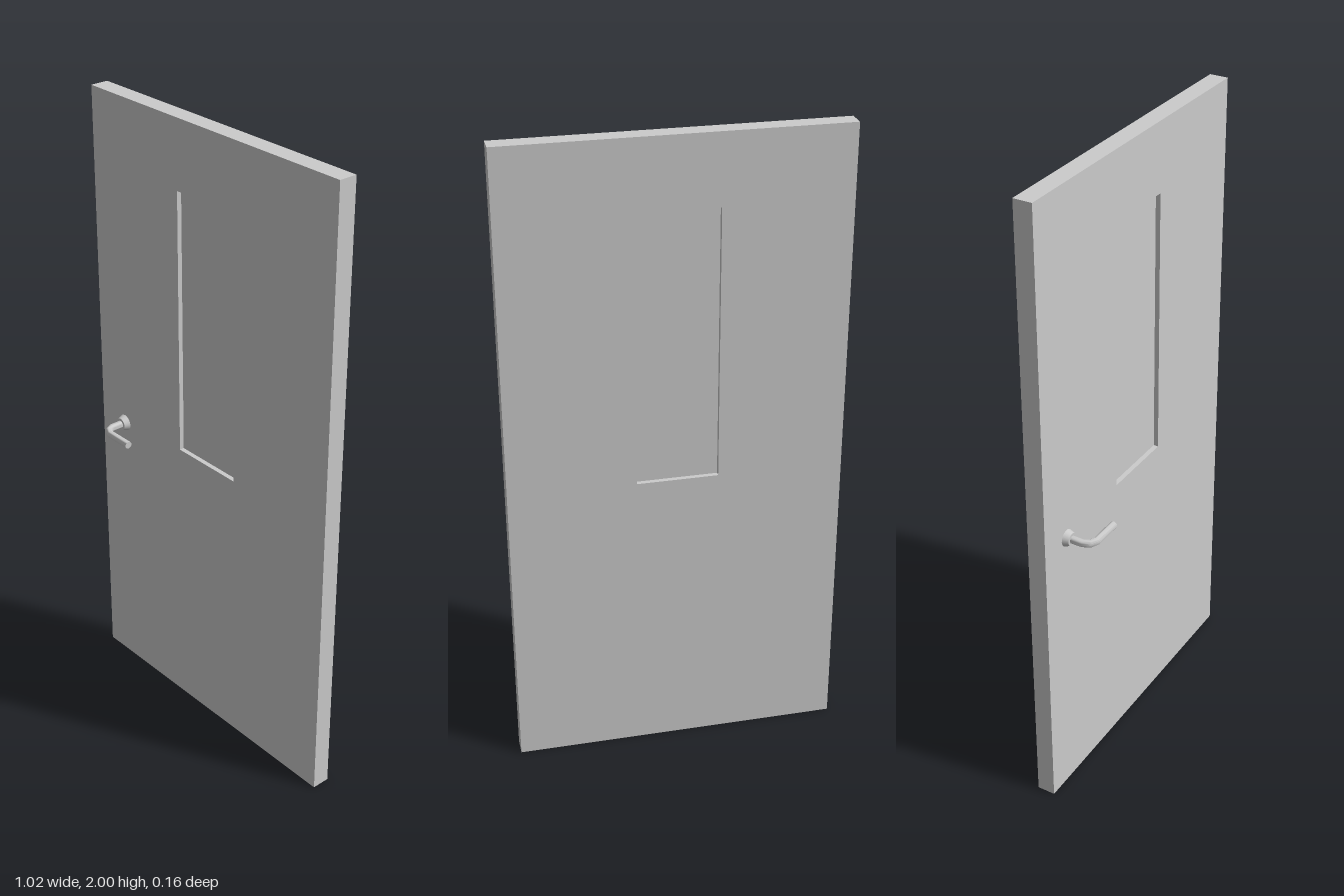
import * as THREE from 'three';
import { toCreasedNormals } from 'three/addons/utils/BufferGeometryUtils.js';

const grey = new THREE.MeshStandardMaterial({ color: 0xcccccc });

function part(name, geometry, x = 0, y = 0, z = 0) {
  const mesh = new THREE.Mesh(geometry, grey);
  mesh.name = name;
  mesh.position.set(x, y, z);
  return mesh;
}

function rectangle(path, x0, y0, x1, y1) {
  path.moveTo(x0, y0).lineTo(x1, y0).lineTo(x1, y1).lineTo(x0, y1).closePath();
  return path;
}

// Lever: a cylinder whose rings are moved onto a bent path (x, z, heading)
function leverGeometry(radius) {
  const rings = [
    [-0.4, -0.005, 0],
    [-0.4, 0.036, 0],
    [-0.39, 0.055, Math.PI / 4],
    [-0.371, 0.0645, Math.PI / 2],
    [-0.278, 0.0645, Math.PI / 2],
  ];
  const last = rings.length - 1;
  const geometry = new THREE.CylinderGeometry(radius, radius, last, 16, last);
  const pos = geometry.attributes.position;
  for (let i = 0; i < pos.count; i++) {
    const [cx, cz, a] = rings[Math.round(pos.getY(i) + last / 2)];
    const side = pos.getX(i);
    pos.setXYZ(i, cx + side * Math.cos(a), -pos.getZ(i), cz - side * Math.sin(a));
  }
  return toCreasedNormals(geometry, 0.9);
}

export function createModel() {
  const model = new THREE.Group();
  model.name = 'door';

  // Door leaf with a window opening, leaning very slightly forward
  const width = 1.024, thickness = 0.058, recess = 0.015;
  const leaf = new THREE.Group();
  leaf.name = 'doorLeaf';
  const outline = rectangle(new THREE.Shape(), -width / 2, 0, width / 2, 2);
  outline.holes.push(rectangle(new THREE.Path(), -0.126, 0.94, 0.123, 1.785));
  leaf.add(part('doorPanel', new THREE.ExtrudeGeometry(outline, { depth: thickness, bevelEnabled: false })));

  // Window pane, recessed on both faces
  const pane = new THREE.BoxGeometry(0.249, 0.845, thickness - 2 * recess);
  leaf.add(part('windowPane', pane, -0.0015, 1.3625, thickness / 2));
  leaf.position.z = -0.08;
  leaf.rotation.x = 0.0037;
  model.add(leaf);

  // Handle: tapered rose and bent lever
  const handle = new THREE.Group();
  handle.name = 'handle';
  handle.position.y = 0.92;
  const rose = new THREE.CylinderGeometry(0.02, 0.027, 0.02, 20).rotateX(Math.PI / 2);
  handle.add(part('handleRose', rose, -0.4, 0, -0.01));
  handle.add(part('handleLever', leverGeometry(0.0118)));
  model.add(handle);

  return model;
}
